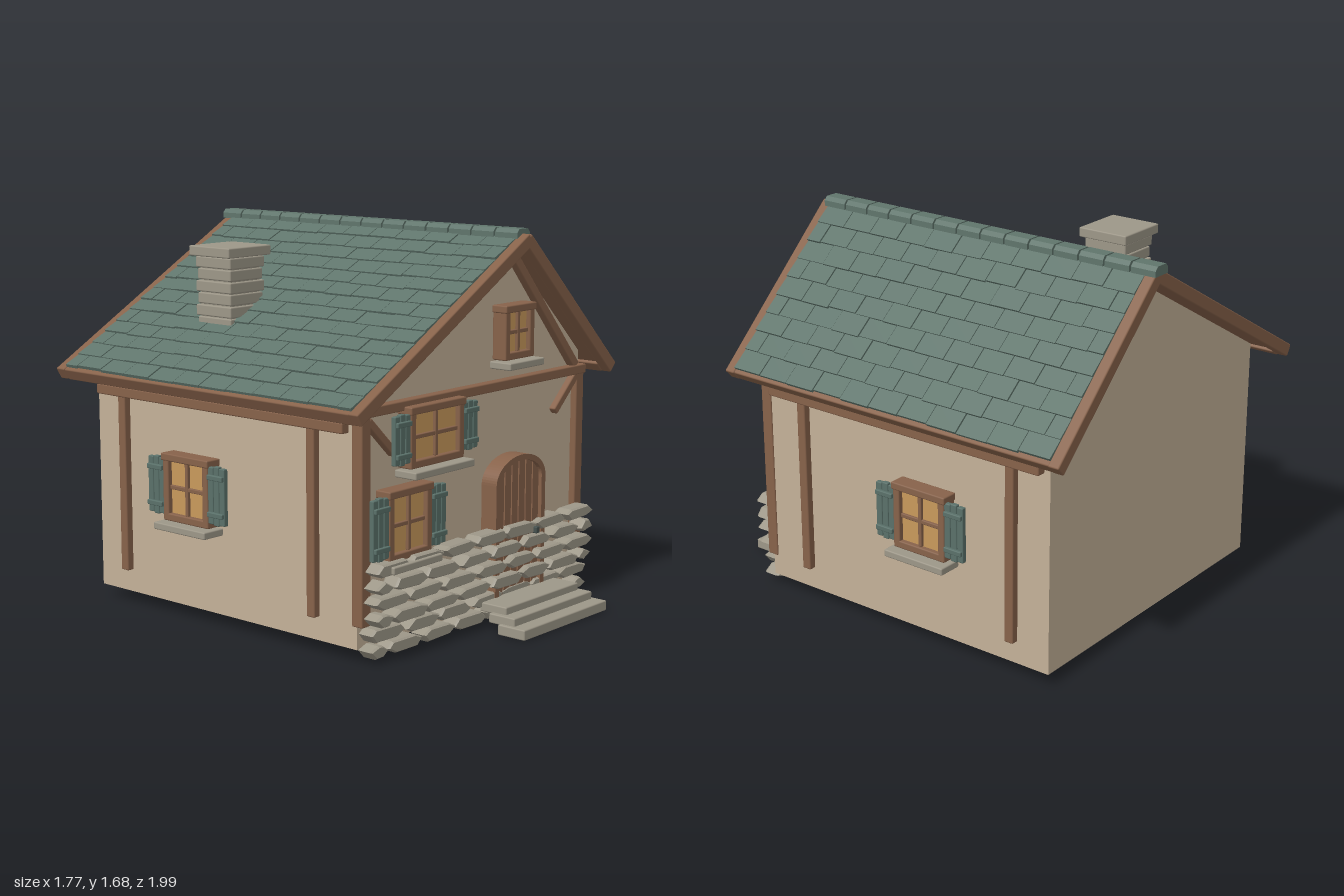
import * as THREE from 'three';
import { mergeGeometries } from 'three/addons/utils/BufferGeometryUtils.js';
import { RoundedBoxGeometry } from 'three/addons/geometries/RoundedBoxGeometry.js';

const mat = (name, color, extra = {}) => {
  const m = new THREE.MeshStandardMaterial({ color, ...extra });
  m.name = name;
  return m;
};

export function createModel() {
  const M = {
    plaster: mat('plaster', 0xc4b198),
    wood: mat('timber', 0x87624a),
    door: mat('door wood', 0x7b5842),
    tile: mat('roof tile', 0x60756c),
    shutter: mat('shutter paint', 0x5a716a),
    stone: mat('stone', 0x9d9788),
    glass: mat('lit glass', 0xc99a5c),
    iron: mat('iron', 0x46514e),
  };
  let seed = 7;
  const rnd = () => (seed = (seed * 16807) % 2147483647) / 2147483647;
  const jit = (a) => (rnd() - 0.5) * 2 * a;

  const model = new THREE.Group();
  model.name = 'cottage';
  const add = (parent, name, geo, material) => {
    const m = new THREE.Mesh(geo, material);
    m.name = name;
    parent.add(m);
    return m;
  };
  // Softly bevelled box given by its min and max on each axis
  const box = (parent, name, material, x0, x1, y0, y1, z0, z1) => {
    const w = x1 - x0, h = y1 - y0, d = z1 - z0;
    const m = add(parent, name, new RoundedBoxGeometry(w, h, d, 1, Math.min(w, h, d, 0.03) * 0.2), material);
    m.position.set((x0 + x1) / 2, (y0 + y1) / 2, (z0 + z1) / 2);
    return m;
  };
  // Straight timber between two points in the front plane
  const timber = (name, ax, ay, bx, by, t, z0, z1) => {
    const L = Math.hypot(bx - ax, by - ay);
    const m = box(model, name, M.wood, -L / 2, L / 2, -t / 2, t / 2, z0, z1);
    m.position.set((ax + bx) / 2, (ay + by) / 2, (z0 + z1) / 2);
    m.rotation.z = Math.atan2(by - ay, bx - ax);
    return m;
  };
  const poly = (pts) => new THREE.Shape(pts.map((p) => new THREE.Vector2(...p)));
  const extrude = (shape, depth, z) =>
    new THREE.ExtrudeGeometry(shape, { depth, bevelEnabled: false, curveSegments: 16 }).translate(0, 0, z);

  // Walls
  const RX = 0.22, RY = 1.635, W = 0.755, FZ = 0.67, BZ = -0.85;
  add(model, 'walls', extrude(poly([[-W, 0.055], [W, 0.055], [W, 1.1], [RX, 1.605], [-W, 1.055]]), FZ - BZ, BZ), M.plaster);

  // Front timber frame
  for (const s of [-1, 1]) {
    box(model, 'frontPost', M.wood, s * 0.733 - 0.028, s * 0.733 + 0.028, 0.15, 1.01, 0.645, 0.7);
  }
  box(model, 'frontBeam', M.wood, -0.765, 0.765, 1.0, 1.042, 0.645, 0.71);
  timber('brace', 0.55, 0.85, 0.715, 1.0, 0.035, 0.66, 0.7);
  timber('brace', -0.55, 0.83, -0.715, 0.985, 0.035, 0.66, 0.7);
  timber('gableTimber', -0.72, 1.04, RX, 1.575, 0.042, 0.66, 0.705);
  timber('gableTimber', 0.7, 1.04, RX, 1.575, 0.042, 0.66, 0.704);

  // Side timber frame
  for (const s of [-1, 1]) {
    for (const z of [0.445, -0.67]) {
      box(model, 'sidePost', M.wood, s * 0.767 - 0.02, s * 0.767 + 0.02, 0.155, 1.02, z - 0.022, z + 0.022);
    }
    box(model, 'sideBeam', M.wood, s * 0.77 - 0.025, s * 0.77 + 0.025, 0.935, 0.98, -0.82, 0.625);
  }

  // Windows face +z, with their origin on the wall at the frame's centre
  function makeWindow(w, h, shutterH) {
    const g = new THREE.Group();
    g.name = 'window';
    const x = w / 2, y = h / 2, t = 0.033;
    box(g, 'glass', M.glass, -x + 0.01, x - 0.01, -y + 0.01, y - 0.01, 0, 0.05);
    for (const s of [-1, 1]) {
      box(g, 'frameSide', M.wood, s * (x - t / 2) - t / 2, s * (x - t / 2) + t / 2, -y, y, 0, 0.072);
    }
    box(g, 'frameTop', M.wood, -x - 0.006, x + 0.006, y - t, y, 0, 0.078);
    box(g, 'frameBottom', M.wood, -x, x, -y, -y + t, 0, 0.072);
    box(g, 'muntin', M.wood, -0.009, 0.009, -y + t, y - t, 0.03, 0.064);
    box(g, 'muntin', M.wood, -x + t, x - t, -0.009, 0.009, 0.03, 0.062);
    box(g, 'sill', M.stone, -x - 0.02, x + 0.02, -y - 0.036, -y - 0.004, 0, 0.113);
    if (!shutterH) return g;
    const sh = shutterH / 2;
    for (const s of [-1, 1]) {
      const cx = s * (x + 0.047);
      for (let i = -1; i <= 1; i++) {
        const px = cx + i * 0.033, dy = i ? 0 : 0.005;
        box(g, 'shutterPlank', M.shutter, px - 0.0155, px + 0.0155, -sh - dy, sh + dy, 0.045, 0.068);
      }
      for (const b of [-1, 1]) {
        box(g, 'shutterBatten', M.shutter, cx - 0.045, cx + 0.045, b * sh * 0.65 - 0.011, b * sh * 0.65 + 0.011, 0.06, 0.08);
      }
    }
    return g;
  }
  const place = (win, x, y, z, ry = 0) => {
    win.position.set(x, y, z);
    win.rotation.y = ry;
    model.add(win);
  };
  place(makeWindow(0.345, 0.255, 0.2), -0.335, 0.89, FZ);
  place(makeWindow(0.27, 0.295, 0.25), -0.505, 0.547, FZ);
  place(makeWindow(0.205, 0.235, 0), 0.218, 1.248, FZ);
  for (const s of [-1, 1]) place(makeWindow(0.27, 0.295, 0.245), s * W, 0.587, -0.235, s * Math.PI / 2);

  // Arched door: frame ring around planks with tops cut to the arch
  const DX = 0.23, SPRING = 0.6;
  const arch = (S, r, rise) => {
    const s = new S();
    s.moveTo(DX - r, 0.07);
    s.lineTo(DX + r, 0.07);
    s.lineTo(DX + r, SPRING);
    s.absellipse(DX, SPRING, r, rise, 0, Math.PI, false);
    s.lineTo(DX - r, 0.07);
    return s;
  };
  const frame = arch(THREE.Shape, 0.177, 0.113);
  frame.holes.push(arch(THREE.Path, 0.15, 0.088));
  add(model, 'doorFrame', extrude(frame, 0.085, 0.665), M.wood);
  add(model, 'doorPanel', extrude(arch(THREE.Shape, 0.152, 0.09), 0.04, 0.665), M.door);
  const archY = (x) => SPRING + 0.088 * Math.sqrt(Math.max(0, 1 - (x / 0.15) ** 2));
  for (let i = 0; i < 6; i++) {
    const a = -0.15 + i * 0.05 + 0.004, b = a + 0.042;
    add(model, 'doorPlank', extrude(poly([[DX + a, 0.07], [DX + b, 0.07], [DX + b, archY(b)], [DX + a, archY(a)]]), 0.065, 0.67), M.wood);
  }
  box(model, 'doorHandle', M.iron, 0.3, 0.325, 0.355, 0.385, 0.73, 0.785);

  // Rough stone courses along the front
  const stones = [];
  for (let row = 0; row < 6; row++) {
    const y = 0.045 + row * 0.068, shift = row % 2 ? 0 : -0.11;
    for (let i = 0; i < 8; i++) {
      const x0 = Math.max(-0.75, -0.75 + i * 0.216 + shift + jit(0.012)) + 0.006;
      const x1 = Math.min(0.75, -0.75 + (i + 1) * 0.216 + shift) - 0.006;
      if (x1 - x0 < 0.07) continue;
      const w = (x1 - x0) / 2, h = 0.02, c = () => 0.02 + rnd() * 0.03;
      const shape = poly([[-w, jit(0.01)], [-w + c(), -h], [w - c(), -h + jit(0.004)], [w, jit(0.01)], [w - c(), h], [-w + c(), h + jit(0.004)]]);
      const geo = new THREE.ExtrudeGeometry(shape, { depth: 0.06, bevelThickness: 0.01, bevelSize: 0.006, bevelSegments: 1 });
      stones.push(geo.translate((x0 + x1) / 2, y, (row < 2 ? 0.672 : 0.7) + jit(0.006)));
    }
  }
  add(model, 'stoneCourses', mergeGeometries(stones), M.stone);

  // Entrance steps
  box(model, 'step', M.stone, -0.075, 0.535, 0, 0.046, 0.86, 1.0);
  box(model, 'step', M.stone, -0.058, 0.515, 0.038, 0.08, 0.8, 0.935);
  box(model, 'step', M.stone, -0.035, 0.495, 0.072, 0.112, 0.735, 0.875);

  // Roof slopes: local x runs down from the ridge
  const Z0 = -0.935, Z1 = 0.74;
  function slope(s, run, drop, rows) {
    const g = new THREE.Group();
    g.name = s > 0 ? 'leftSlope' : 'rightSlope';
    g.position.set(RX, RY, 0);
    g.rotation.z = -s * Math.atan2(drop, run);
    model.add(g);
    const L = Math.hypot(run, drop);
    const span = (name, a, b, y0, y1, z0, z1) =>
      box(g, name, M.wood, Math.min(s * a, s * b), Math.max(s * a, s * b), y0, y1, z0, z1);
    span('roofDeck', 0, L, -0.018, 0.014, Z0, Z1);
    span('bargeBoard', -0.012, L + 0.015, -0.028, 0.028, Z1 - 0.005, 0.785);
    span('bargeBoard', -0.012, L + 0.015, -0.028, 0.028, -0.982, Z0 + 0.005);
    span('eaveBeam', L - 0.045, L + 0.012, -0.032, 0.024, Z0, Z1);

    const tiles = [], step = (L - 0.025) / rows, tw = (Z1 - Z0) / 11;
    for (let r = 0; r < rows; r++) {
      const off = r % 2 ? tw / 2 : 0;
      for (let i = 0; i < 12; i++) {
        const a = Math.max(Z0, Z0 + i * tw - off) + 0.002;
        const b = Math.min(Z1, Z0 + (i + 1) * tw - off) - 0.002;
        if (b - a < 0.03) continue;
        const geo = new THREE.BoxGeometry(step * 1.12, 0.018, b - a);
        geo.rotateZ(-s * -0.08);
        tiles.push(geo.translate(s * (0.012 + (r + 0.5) * step + jit(0.004)), 0.024 + jit(0.002), (a + b) / 2));
      }
    }
    add(g, 'roofTiles', mergeGeometries(tiles), M.tile);
  }
  slope(-1, 1.08, 0.61, 14);
  slope(1, 0.64, 0.605, 9);

  // Ridge caps
  const cap = poly([[-0.045, 1.642], [0.045, 1.642], [0.045, 1.667], [0.03, 1.684], [-0.03, 1.684], [-0.045, 1.667]]);
  for (let i = 0; i < 14; i++) {
    const m = add(model, 'ridgeCap', extrude(cap, 0.116, -0.99 + i * 0.1248), M.tile);
    m.position.x = RX;
  }

  // Chimney of stacked courses with a cap slab
  const CX = -0.415, CZ = -0.36;
  for (let i = 0; i < 8; i++) {
    const y = 1.13 + i * 0.0525, e = 0.1 + (i % 2) * 0.006;
    box(model, 'chimneyCourse', M.stone, CX - e, CX + e, y, y + 0.048, CZ - e, CZ + e);
  }
  box(model, 'chimneyCore', M.stone, CX - 0.092, CX + 0.092, 1.13, 1.56, CZ - 0.092, CZ + 0.092);
  box(model, 'chimneyCap', M.stone, CX - 0.13, CX + 0.13, 1.548, 1.592, CZ - 0.122, CZ + 0.122);

  return model;
}
